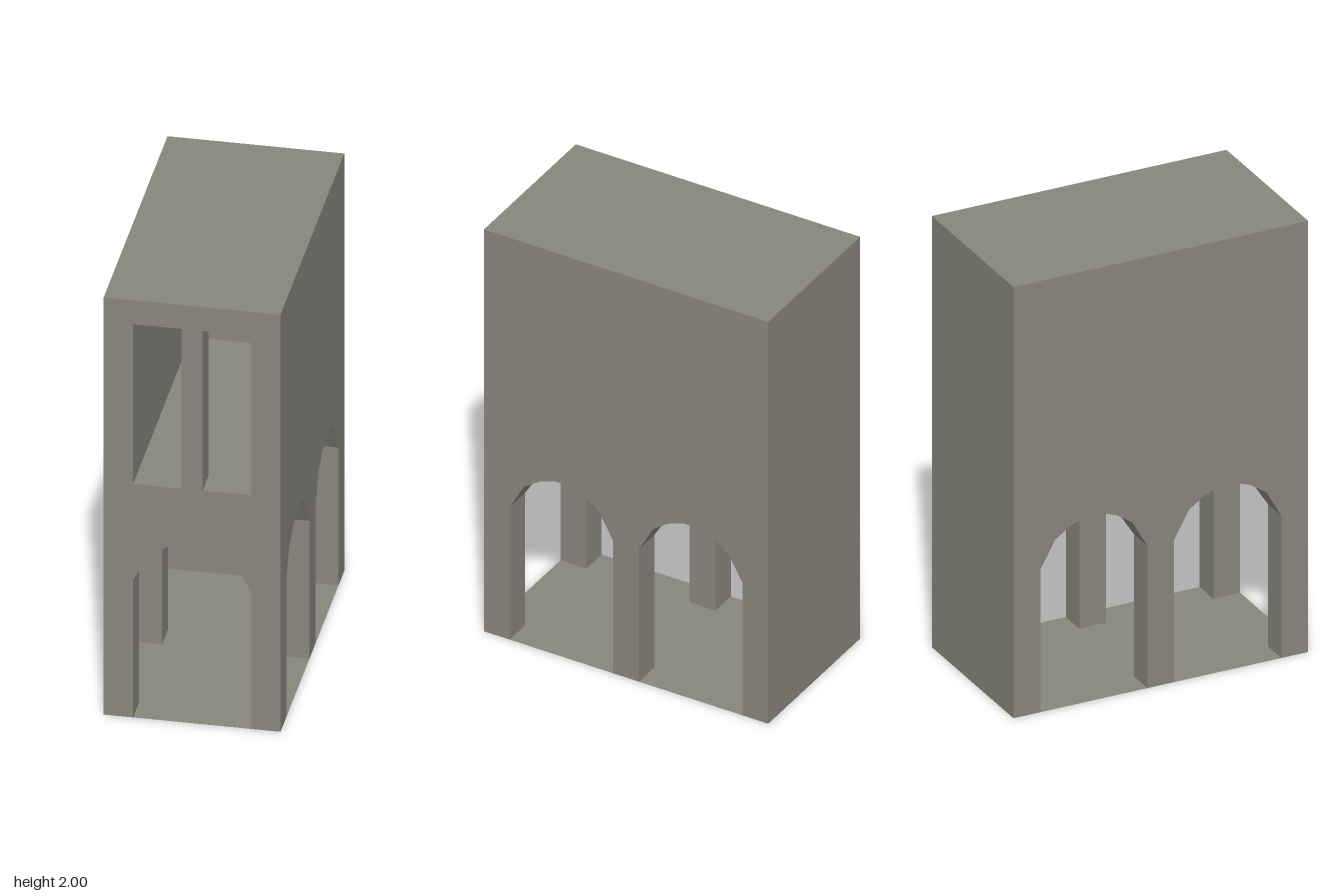
import * as THREE from 'three';

const W = 0.375, D = 0.6875, H = 2;      // outer half width, half depth, height
const T = 0.125, IN = W - T, IZ = D - T; // wall thickness and inner half sizes
const BAY = 0.3125;                      // distance of each bay centre from the middle
const FLOOR = 1.12, CEIL = 1.885;        // upper room levels

// Faceted arch, left springing to right springing
const ARCH = [
  [-0.25, 0.66], [-0.18, 0.785], [-0.105, 0.835], [-0.036, 0.86],
  [0.036, 0.86], [0.105, 0.835], [0.18, 0.785], [0.25, 0.66],
];

export function createModel() {
  const model = new THREE.Group();
  model.name = 'archedTower';
  const stone = new THREE.MeshStandardMaterial({ color: 0x88867c, side: THREE.DoubleSide });
  stone.name = 'stone';

  const add = (name, geometry, parent = model) => {
    const mesh = new THREE.Mesh(geometry, stone);
    mesh.name = name;
    parent.add(mesh);
    return mesh;
  };
  const box = (name, x, y0, y1, z0, z1) => {
    const mesh = add(name, new THREE.BoxGeometry(x * 2, y1 - y0, z1 - z0));
    mesh.position.set(0, (y0 + y1) / 2, (z0 + z1) / 2);
    return mesh;
  };
  const shapeOf = (points) => new THREE.Shape(points.map(([x, y]) => new THREE.Vector2(x, y)));
  const extrude = (shape) => new THREE.ExtrudeGeometry(shape, { depth: T, bevelEnabled: false });
  const archAt = (c) => ARCH.map(([x, y]) => [x + c, y]);

  // Front wall: arched doorway with two tall windows above
  const front = shapeOf([[-W, 0], [-IN, 0], ...ARCH, [IN, 0], [W, 0], [W, H], [-W, H]]);
  for (const [x0, x1] of [[-IN, -0.045], [0.045, IN]]) {
    front.holes.push(new THREE.Path([
      new THREE.Vector2(x0, FLOOR), new THREE.Vector2(x0, CEIL),
      new THREE.Vector2(x1, CEIL), new THREE.Vector2(x1, FLOOR),
    ]));
  }
  add('frontWall', extrude(front)).position.z = IZ;

  // Side walls: two arches sharing a middle pier
  const p = BAY - 0.25;
  const side = shapeOf([
    [-IZ, H], ...archAt(-BAY), [-p, 0], [p, 0], ...archAt(BAY), [IZ, H],
  ]);
  for (const [name, x] of [['leftWall', IN], ['rightWall', -W]]) {
    const wall = add(name, extrude(side));
    wall.rotation.y = Math.PI / 2;
    wall.position.x = x;
  }

  // Solid back wall, roof and upper floor
  box('backWall', W, 0, H, -D, -IZ);
  box('roof', IN, CEIL, H, -IZ, IZ);
  box('upperFloor', IN, 1, FLOOR, -IZ, IZ);

  // Ground floor sheet between the piers
  const ground = add('groundFloor', new THREE.PlaneGeometry(W * 2, D * 2));
  ground.rotation.x = -Math.PI / 2;

  // Cross arch dividing the two bays
  add('crossArch', extrude(shapeOf([...ARCH, [IN, 1], [-IN, 1]]))).position.z = -T / 2;

  // One quarter of a groin vault: arch strips mitred along the diagonals
  const v = [];
  for (let i = 0; i < ARCH.length - 1; i++) {
    const [x0, y0] = ARCH[i], [x1, y1] = ARCH[i + 1];
    const a = [x0, y0, 0.25], b = [x1, y1, 0.25];
    const c = [x1, y1, Math.abs(x1)], d = [x0, y0, Math.abs(x0)];
    v.push(...a, ...c, ...b, ...a, ...d, ...c);
  }
  const web = new THREE.BufferGeometry();
  web.setAttribute('position', new THREE.Float32BufferAttribute(v, 3));
  web.computeVertexNormals();

  // Four webs and a flat crown over each bay
  for (const [name, z] of [['frontVault', BAY], ['backVault', -BAY]]) {
    const vault = new THREE.Group();
    vault.name = name;
    vault.position.z = z;
    for (let k = 0; k < 4; k++) add('vaultWeb', web, vault).rotation.y = k * Math.PI / 2;
    const crown = add('vaultCrown', new THREE.PlaneGeometry(0.072, 0.072), vault);
    crown.rotation.x = Math.PI / 2;
    crown.position.y = 0.86;
    model.add(vault);
  }
  return model;
}
